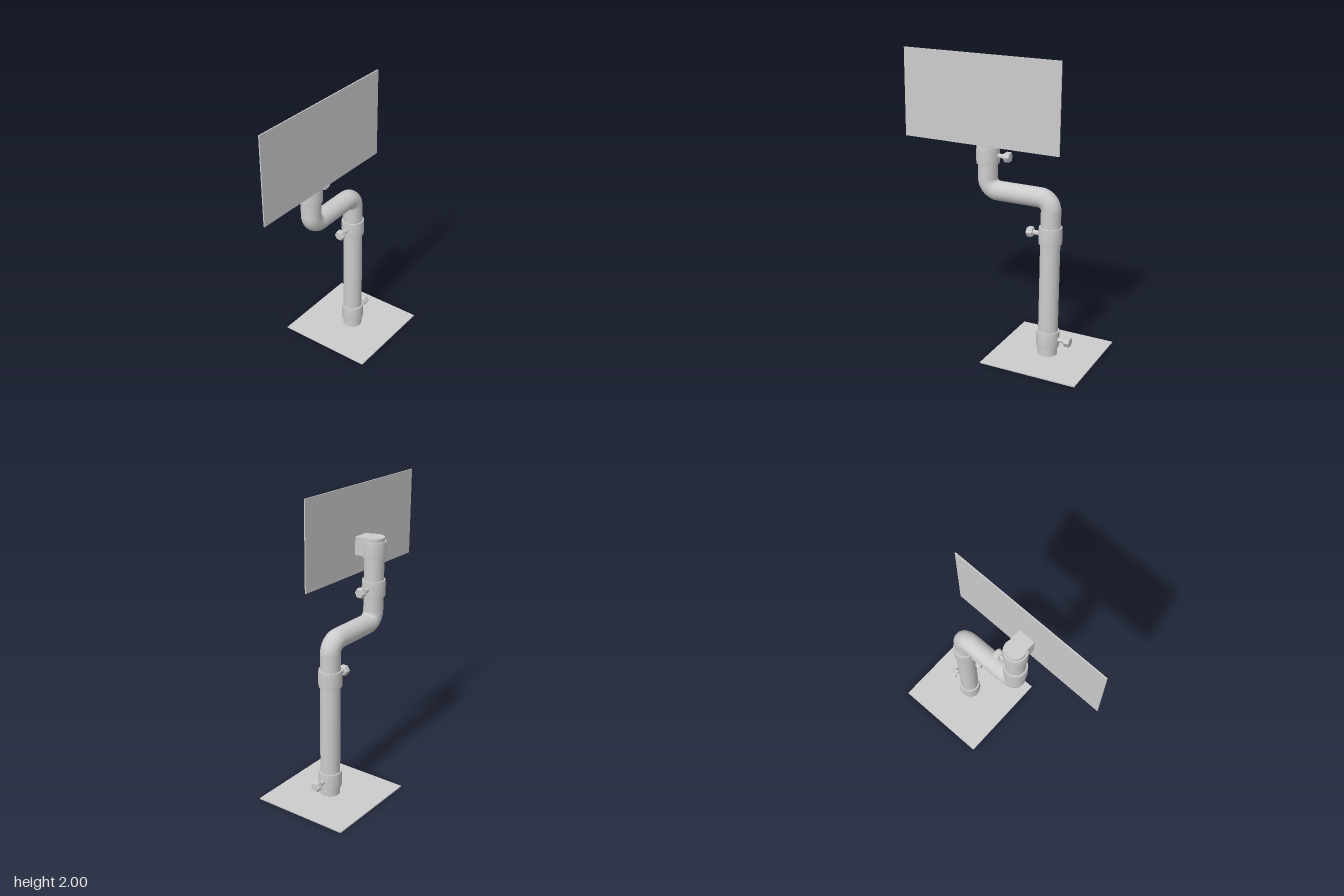
import * as THREE from 'three';

const PIPE_R = 0.066;
const LOWER_X = 0.342;
const UPPER_X = -0.117;

export function createModel() {
  const material = new THREE.MeshStandardMaterial({ color: 0xcccccc });
  const model = new THREE.Group();
  model.name = 'standWithPanel';

  function add(parent, name, geometry, x = 0, y = 0, z = 0) {
    const mesh = new THREE.Mesh(geometry, material);
    mesh.name = name;
    mesh.position.set(x, y, z);
    parent.add(mesh);
    return mesh;
  }

  // Thin square foot plate
  add(model, 'basePlate', new THREE.BoxGeometry(0.676, 0.008, 0.67), 0.34, 0.004, 0);

  // Everything above the plate leans back very slightly
  const arm = new THREE.Group();
  arm.name = 'arm';
  arm.position.z = 0.008;
  arm.rotation.x = -0.018;
  model.add(arm);

  // Straight lower pole
  add(arm, 'lowerPole', new THREE.CylinderGeometry(PIPE_R, PIPE_R, 0.846, 32), LOWER_X, 0.427, 0);

  // Upper pipe: up, across and up again with two rounded elbows
  const v = (x, y) => new THREE.Vector3(x, y, 0);
  const yMid = 1.094, bend = 0.08, k = bend * 0.448;
  const path = new THREE.CurvePath();
  path.add(new THREE.LineCurve3(v(LOWER_X, 0.85), v(LOWER_X, yMid - bend)));
  path.add(new THREE.CubicBezierCurve3(
    v(LOWER_X, yMid - bend), v(LOWER_X, yMid - k), v(LOWER_X - k, yMid), v(LOWER_X - bend, yMid)));
  path.add(new THREE.LineCurve3(v(LOWER_X - bend, yMid), v(UPPER_X + bend, yMid)));
  path.add(new THREE.CubicBezierCurve3(
    v(UPPER_X + bend, yMid), v(UPPER_X + k, yMid), v(UPPER_X, yMid + k), v(UPPER_X, yMid + bend)));
  path.add(new THREE.LineCurve3(v(UPPER_X, yMid + bend), v(UPPER_X, 1.67)));
  add(arm, 'upperPipe', new THREE.TubeGeometry(path, 120, PIPE_R, 32, false));
  const cap = add(arm, 'pipeCap', new THREE.CircleGeometry(PIPE_R, 32), UPPER_X, 1.67, 0);
  cap.rotation.x = -Math.PI / 2;

  // Collar ring with a slight barrel and flat ends
  function collar(name, x, y, height = 0.112) {
    const h = height / 2;
    const side = [[0.076, -h], [0.078, -h * 0.6], [0.078, h * 0.6], [0.076, h]];
    const group = new THREE.Group();
    group.name = name;
    group.position.set(x, y, 0);
    arm.add(group);
    const ring = (pts) => new THREE.LatheGeometry(pts.map(p => new THREE.Vector2(...p)), 32);
    add(group, 'collarSide', ring(side));
    add(group, 'collarTop', ring([[0.076, h], [PIPE_R - 0.002, h]]));
    add(group, 'collarBottom', ring([[PIPE_R - 0.002, -h], [0.076, -h]]));
    return group;
  }

  // Hexagonal clamp screw pointing along dir on the x axis
  function clampScrew(parent, dir) {
    const screw = new THREE.Group();
    screw.name = 'clampScrew';
    screw.rotation.z = -dir * Math.PI / 2;
    parent.add(screw);
    add(screw, 'screwShaft', new THREE.CylinderGeometry(0.016, 0.016, 0.07, 16), 0, 0.1, 0);
    const profile = [[0, 0.122], [0.03, 0.122], [0.036, 0.13], [0.036, 0.158], [0.03, 0.165], [0, 0.165]];
    const head = new THREE.LatheGeometry(profile.map(p => new THREE.Vector2(...p)), 6).toNonIndexed();
    head.computeVertexNormals();
    add(screw, 'screwHead', head);
  }

  clampScrew(collar('bottomCollar', LOWER_X, 0.12), 1);
  clampScrew(collar('middleCollar', LOWER_X, 0.85), -1);
  clampScrew(collar('upperCollar', UPPER_X, 1.329), 1);

  // Head collar and block holding the panel
  collar('headCollar', UPPER_X, 1.588);
  add(arm, 'panelBracket', new THREE.BoxGeometry(0.12, 0.12, 0.106), -0.112, 1.605, 0.053);

  // Wide thin panel, turned by a hair
  const panel = add(arm, 'panel', new THREE.BoxGeometry(1.122, 0.587, 0.008), -0.12, 1.7055, 0.109);
  panel.rotation.y = -0.014;

  return model;
}
